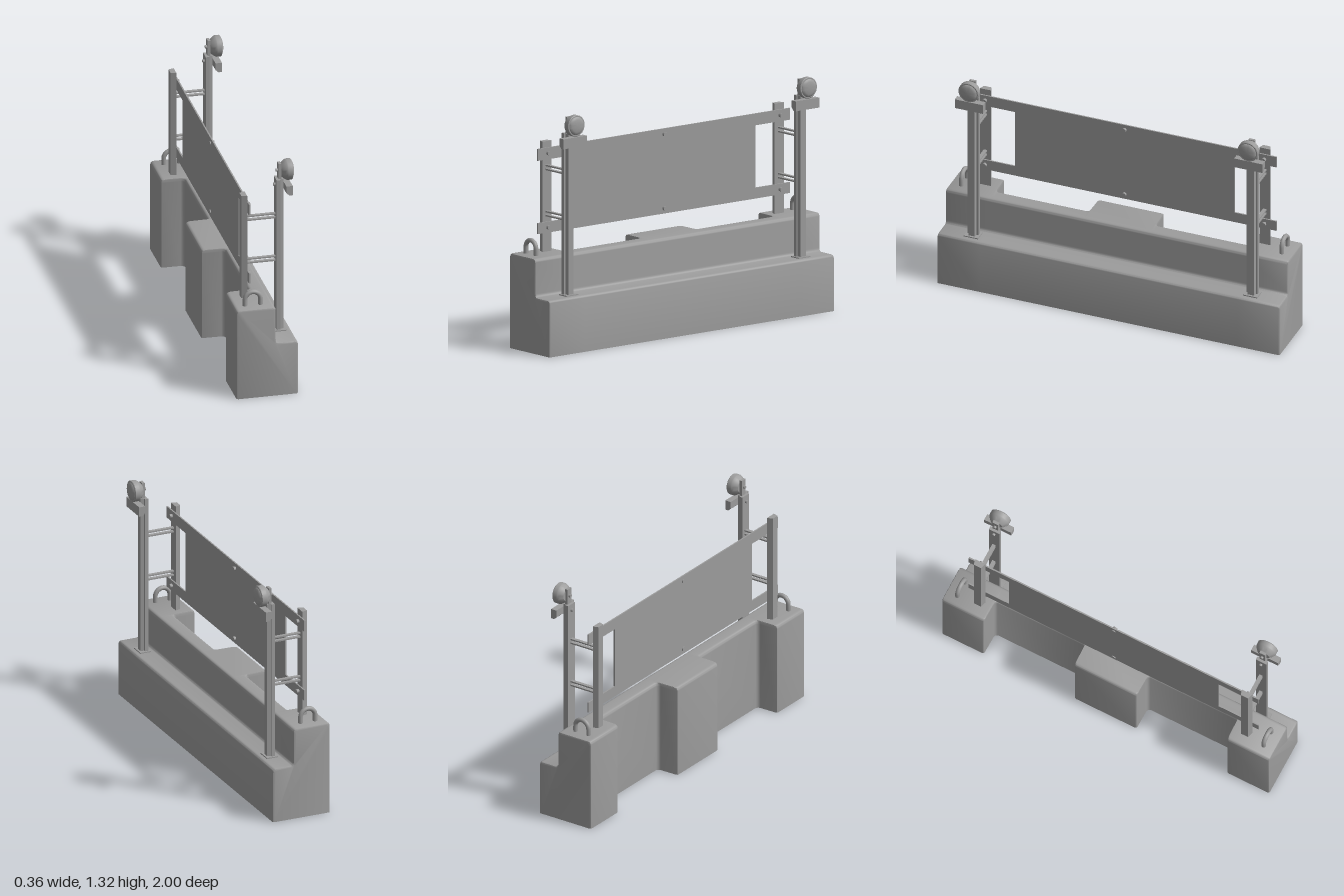
import * as THREE from 'three';
import { toCreasedNormals } from 'three/addons/utils/BufferGeometryUtils.js';

const grey = new THREE.MeshStandardMaterial({ color: 0x9c9c9c });
const shell = new THREE.MeshStandardMaterial({ color: 0x9c9c9c, side: THREE.DoubleSide });

function add(parent, name, geometry, x = 0, y = 0, z = 0, material = grey) {
  const mesh = new THREE.Mesh(geometry, material);
  mesh.name = name;
  mesh.position.set(x, y, z);
  parent.add(mesh);
  return mesh;
}

// box given by its limits
function box(parent, name, [x0, x1], [y0, y1], [z0, z1]) {
  return add(parent, name, new THREE.BoxGeometry(x1 - x0, y1 - y0, z1 - z0),
    (x0 + x1) / 2, (y0 + y1) / 2, (z0 + z1) / 2);
}

// bolt head whose axis runs along x
function bolt(parent, x, y, z, r = 0.012, length = 0.016) {
  add(parent, 'bolt', new THREE.CylinderGeometry(r, r, length, 12).rotateZ(Math.PI / 2), x, y, z);
}

// straight prism over a polygon
function prism(points, depth) {
  const s = new THREE.Shape(points.map(([a, b]) => new THREE.Vector2(a, b)));
  return new THREE.ExtrudeGeometry(s, { depth, bevelEnabled: false });
}

// stepped cross-section with rounded edges, from back foot to front foot
function section(back, inset) {
  const r = 0.02, b = back + inset, top = 0.525 - inset, step = 0.04 - inset;
  const ledge = 0.312 - inset, front = 0.163 - inset;
  const s = new THREE.Shape();
  s.moveTo(b, 0);
  s.lineTo(b, top - r);
  s.quadraticCurveTo(b, top, b + r, top);
  s.lineTo(step - r, top);
  s.quadraticCurveTo(step, top, step, top - r);
  s.lineTo(step, ledge + r);
  s.quadraticCurveTo(step, ledge, step + r, ledge);
  s.lineTo(front - r, ledge);
  s.quadraticCurveTo(front, ledge, front, ledge - r);
  s.lineTo(front, 0);
  return s.getPoints(5);
}

// concrete body: cross-sections lofted along z, the back stepping in between three blocks
function concreteGeometry() {
  const half = [
    [0.18, -0.18], [0.187, -0.177], [0.19, -0.17], [0.192, -0.07], [0.196, -0.058], [0.207, -0.05],
    [0.725, -0.05], [0.736, -0.058], [0.74, -0.07], [0.742, -0.17], [0.745, -0.177], [0.752, -0.18],
    [0.99, -0.18], [0.997, -0.18, 0.003], [1, -0.18, 0.01],
  ];
  const stations = [...half.map(([z, b, i]) => [-z, b, i]).reverse(), ...half];
  const rings = stations.map(([, b, i = 0]) => section(b, i));
  const n = rings[0].length, position = [], index = [];
  rings.forEach((ring, i) => ring.forEach((p) => position.push(p.x, p.y, stations[i][0])));
  for (let i = 0; i < rings.length - 1; i++) {
    for (let j = 0; j < n - 1; j++) {
      const a = i * n + j, c = a + n;
      index.push(a, c, a + 1, a + 1, c, c + 1);
    }
  }
  // end walls
  const last = (rings.length - 1) * n;
  for (const tri of THREE.ShapeUtils.triangulateShape(rings[0], [])) {
    const ccw = THREE.ShapeUtils.area(tri.map((k) => rings[0][k])) > 0;
    const [a, b, c] = ccw ? tri : [tri[0], tri[2], tri[1]];
    index.push(last + a, last + b, last + c, a, c, b);
  }
  const g = new THREE.BufferGeometry();
  g.setAttribute('position', new THREE.Float32BufferAttribute(position, 3));
  g.setIndex(index);
  return toCreasedNormals(g, 0.7);
}

// rear upright: slightly tapered bar
function rearPostGeometry() {
  return prism([[-0.115, -0.022], [-0.084, -0.032], [-0.084, 0.032], [-0.115, 0.022]], 0.635)
    .rotateX(-Math.PI / 2).translate(0, 0.5, 0);
}

// front upright: flanged channel, flanges to the rear
function frontPostGeometry() {
  const half = [[0.12, 0.018], [0.1, 0.022], [0.1, 0.032], [0.08, 0.032]];
  const other = half.map(([x, z]) => [x, -z]).reverse();
  return prism([...half, ...other], 0.9).rotateX(-Math.PI / 2).translate(0, 0.31, 0);
}

// sign board with arms that reach past the window openings
function boardGeometry() {
  const w = 0.885;
  const right = [[w, 0.63], [w, 0.69], [0.64, 0.69], [0.64, 1.035], [w, 1.035], [w, 1.1]];
  const left = right.map(([z, y]) => [-z, y]).reverse();
  return prism([...right, ...left], 0.008).rotateY(Math.PI / 2);
}

// lifting loop in the x-y plane
function loopGeometry() {
  const r = 0.043, y = 0.56, pts = [new THREE.Vector3(-r, 0.5, 0)];
  for (let i = 0; i <= 12; i++) {
    const a = Math.PI * (1 - i / 12);
    pts.push(new THREE.Vector3(r * Math.cos(a), y + r * Math.sin(a), 0));
  }
  pts.push(new THREE.Vector3(r, 0.5, 0));
  return new THREE.TubeGeometry(new THREE.CatmullRomCurve3(pts), 40, 0.013, 10);
}

// round warning lamp, axis along x
function lampGeometry() {
  const profile = [[0, 0.109], [0.034, 0.109], [0.039, 0.113], [0.05, 0.125], [0.057, 0.136],
    [0.059, 0.142], [0.059, 0.165], [0.056, 0.168], [0.05, 0.168], [0.046, 0.173],
    [0.034, 0.177], [0.018, 0.179], [0, 0.18]];
  const g = new THREE.LatheGeometry(profile.map(([r, x]) => new THREE.Vector2(r, x)), 32);
  return toCreasedNormals(g.rotateZ(-Math.PI / 2), 0.6);
}

// battery box with a chamfered lower rear edge
function batteryGeometry() {
  return prism([[0.122, 1.192], [0.122, 1.152], [0.138, 1.137], [0.158, 1.137], [0.158, 1.192]], 0.165)
    .translate(0, 0, -0.0825);
}

// everything mounted at one end of the barrier
function endFrame(z) {
  const g = new THREE.Group();
  g.name = 'endFrame';
  g.position.z = z;
  add(g, 'rearPost', rearPostGeometry());
  add(g, 'frontPost', frontPostGeometry());
  box(g, 'basePlate', [0.068, 0.132], [0.305, 0.318], [-0.042, 0.042]);
  // rungs, each a pair of flat bars
  for (const y of [0.735, 0.99]) {
    for (const s of [-1, 1]) {
      const bar = y + s * 0.011;
      box(g, 'rungBar', [-0.085, 0.085], [bar - 0.004, bar + 0.004], [-0.01, 0.01]);
    }
  }
  for (const y of [0.66, 1.07]) bolt(g, -0.069, y, 0);
  // lamp and its battery box
  box(g, 'lampBracket', [0.094, 0.11], [1.13, 1.3], [-0.018, 0.018]);
  bolt(g, 0.09, 1.258, 0, 0.009, 0.014);
  bolt(g, 0.076, 1.175, 0, 0.009, 0.014);
  add(g, 'lamp', lampGeometry(), 0, 1.257, 0);
  add(g, 'batteryBox', batteryGeometry());
  return g;
}

export function createModel() {
  const model = new THREE.Group();
  model.name = 'barrierWithSignBoard';
  add(model, 'concreteBarrier', concreteGeometry(), 0, 0, 0, shell);
  add(model, 'signBoard', boardGeometry(), -0.084, 0, 0);
  for (const y of [0.66, 1.07]) bolt(model, -0.076, y, 0, 0.012, 0.026);
  for (const s of [-1, 1]) {
    model.add(endFrame(s * 0.815));
    add(model, 'liftingLoop', loopGeometry(), -0.075, 0, s * 0.935);
  }
  return model;
}
